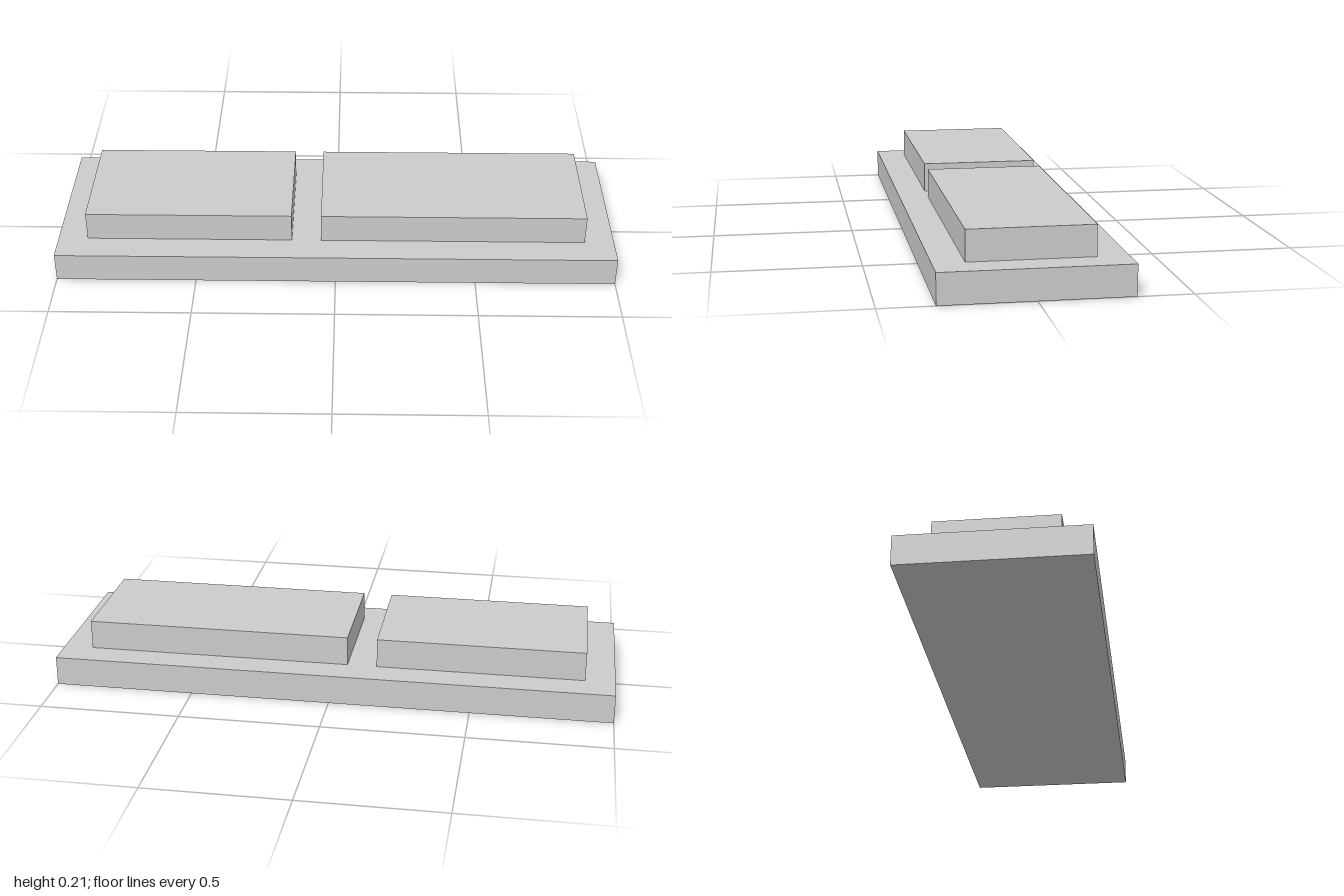
import * as THREE from 'three';

// The proportions follow a whole-number grid, 19 cells along the longest side.
const U = 2 / 19;

export function createModel() {
  const group = new THREE.Group();
  const material = new THREE.MeshStandardMaterial({ color: 0xcccccc, flatShading: true });

  // Box spanning x0..x1 in grid cells, standing on height y0, centred on z.
  const addSlab = (name, x0, x1, y0, depth) => {
    const mesh = new THREE.Mesh(new THREE.BoxGeometry((x1 - x0) * U, U, depth * U), material);
    mesh.position.set(((x0 + x1) / 2) * U, (y0 + 0.5) * U, 0);
    mesh.name = name;
    group.add(mesh);
  };

  addSlab('basePlate', -9.5, 9.5, 0, 6);
  // Two raised blocks with a one-cell gap between them
  addSlab('shortBlock', -8.5, -1.5, 1, 4);
  addSlab('longBlock', -0.5, 8.5, 1, 4);

  return group;
}
